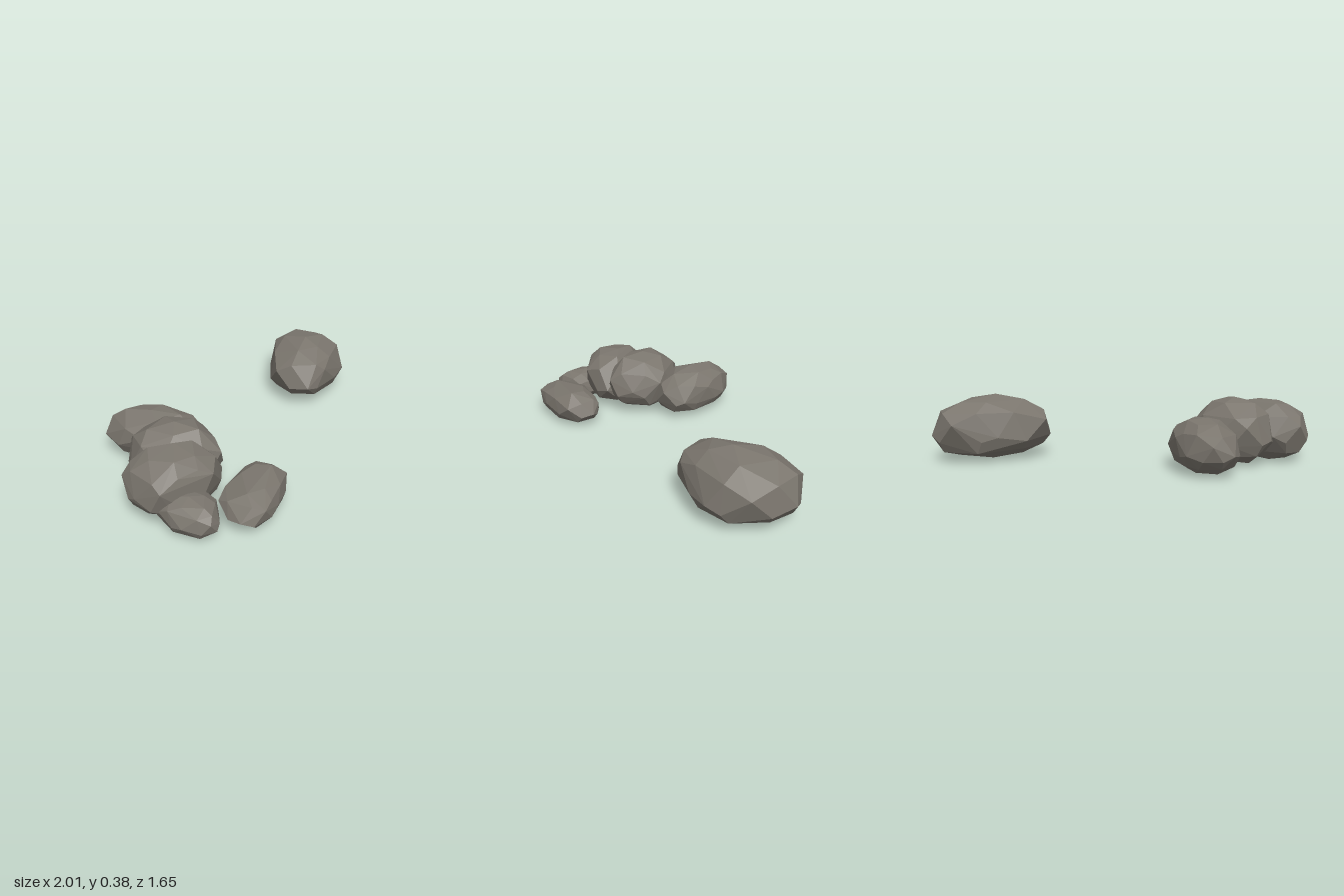
import * as THREE from 'three';
import { ConvexGeometry } from 'three/addons/geometries/ConvexGeometry.js';

// Each boulder: peak [x, height, z] and the corners [x, z] of its widest outline
const ROCKS = [
  {
    name: 'largeLoneBoulder', peak: [0.68, 0.385, -0.46],
    rim: [[0.69, -0.83], [0.89, -0.79], [1, -0.55], [0.91, -0.32],
      [0.65, -0.185], [0.5, -0.165], [0.375, -0.36], [0.51, -0.64]],
  },
  {
    name: 'backBoulder', peak: [-0.62, 0.3, -0.2],
    rim: [[-0.77, -0.45], [-0.6, -0.425], [-0.48, -0.32], [-0.355, -0.17],
      [-0.37, -0.03], [-0.52, 0.05], [-0.74, -0.08], [-0.855, -0.365]],
  },
  {
    name: 'middleBoulder', peak: [-0.63, 0.385, 0.135],
    rim: [[-0.8, -0.08], [-0.6, -0.09], [-0.43, 0], [-0.39, 0.18],
      [-0.45, 0.34], [-0.65, 0.35], [-0.82, 0.22], [-0.885, 0.08]],
  },
  {
    name: 'sideBoulder', peak: [-0.72, 0.365, 0.31],
    rim: [[-1, 0.24], [-0.87, 0.15], [-0.6, 0.22], [-0.46, 0.36],
      [-0.6, 0.52], [-0.73, 0.53], [-0.92, 0.54], [-1, 0.39]],
  },
  {
    name: 'smallFrontStone', peak: [-0.77, 0.19, 0.56],
    rim: [[-0.92, 0.5], [-0.87, 0.66], [-0.75, 0.755], [-0.68, 0.72],
      [-0.62, 0.58], [-0.65, 0.46], [-0.75, 0.4], [-0.88, 0.42]],
  },
  {
    name: 'flatFrontStone', peak: [-0.27, 0.215, 0.57],
    rim: [[-0.62, 0.6], [-0.45, 0.44], [-0.3, 0.4], [-0.22, 0.42],
      [-0.175, 0.58], [-0.35, 0.76], [-0.47, 0.825], [-0.6, 0.79]],
  },
];

// Rings from the rim to both caps: inset scale, height fraction, corner count
const RINGS = [
  { scale: 0.87, level: 0.76, count: 8 },
  { scale: 0.55, level: 0.93, count: 5 },
  { scale: 0.98, level: 0.34, count: 8 },
  { scale: 0.86, level: 0.18, count: 8 },
  { scale: 0.52, level: 0.05, count: 5 },
];

function seeded(seed) {
  return () => {
    seed = (seed * 16807) % 2147483647;
    return seed / 2147483647;
  };
}

// Chip a faceted stone from an outline that narrows upwards and downwards
function rockGeometry({ peak, rim }, seed) {
  const rand = seeded(seed);
  const jitter = (amount) => (rand() - 0.5) * amount;
  const height = peak[1];
  const corners = rim.map(([x, z]) => new THREE.Vector3(x, 0, z));
  const outline = new THREE.CatmullRomCurve3(corners, true, 'centripetal');
  const centre = new THREE.Box3().setFromPoints(corners).getCenter(new THREE.Vector3());

  // Rim corners zigzag about half height, the peak sits above and the foot below
  const points = corners.map((c, i) =>
    new THREE.Vector3(c.x, height * ((i % 2 ? 0.42 : 0.64) + jitter(0.08)), c.z));
  points.push(new THREE.Vector3(...peak), new THREE.Vector3(centre.x, 0, centre.z));

  for (const { scale, level, count } of RINGS) {
    for (let i = 0; i < count; i++) {
      const p = outline.getPoint((i + 0.5 + jitter(0.3)) / count);
      p.sub(centre).multiplyScalar(scale + jitter(0.05)).add(centre);
      p.y = height * (level + jitter(0.06));
      points.push(p);
    }
  }
  return new ConvexGeometry(points);
}

export function createModel() {
  const group = new THREE.Group();
  group.name = 'boulders';
  const stone = new THREE.MeshStandardMaterial({ color: 0x7b766e });
  stone.name = 'warm grey stone';

  ROCKS.forEach((rock, i) => {
    const mesh = new THREE.Mesh(rockGeometry(rock, 4001 + i * 3701), stone);
    mesh.name = rock.name;
    group.add(mesh);
  });
  return group;
}
